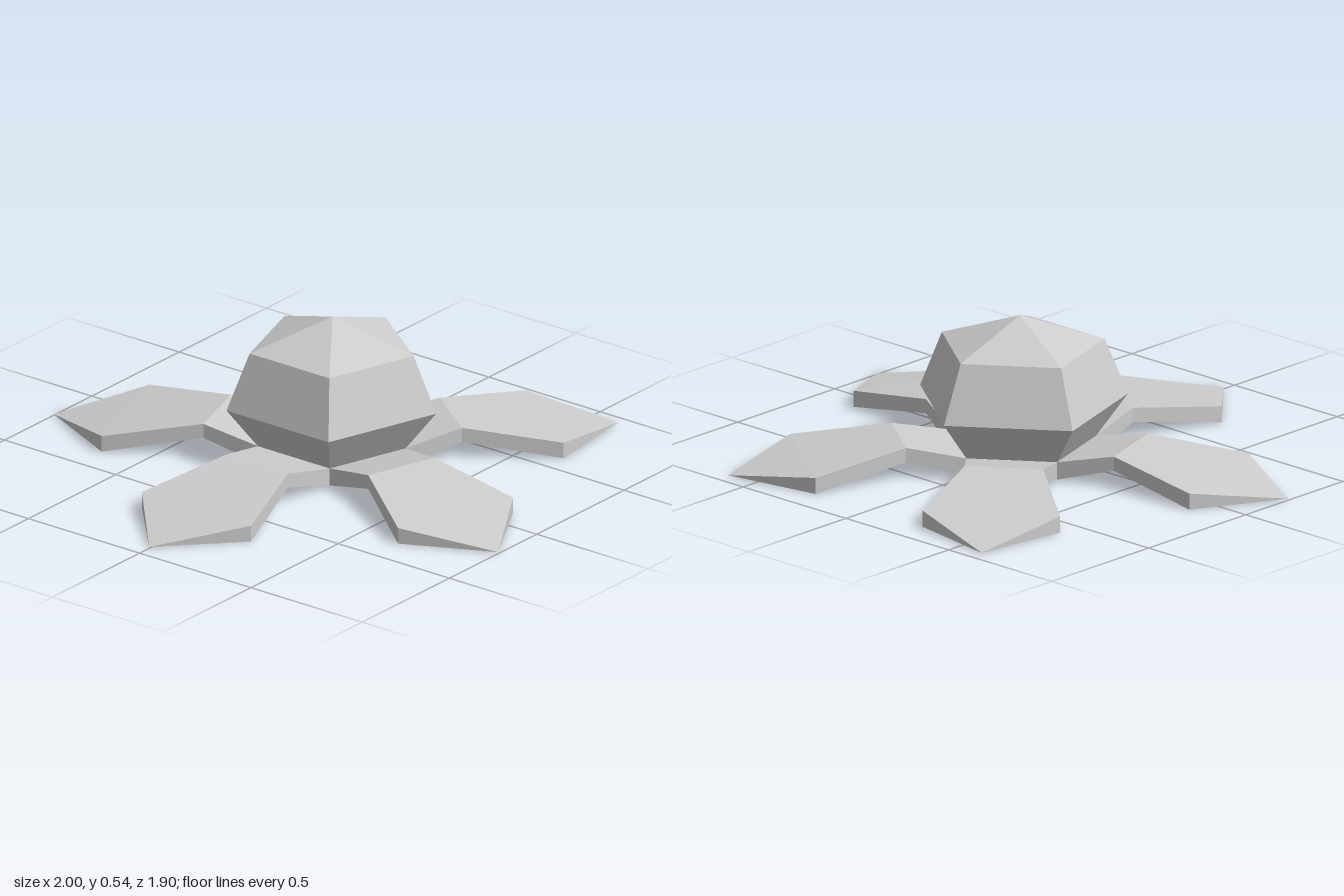
import * as THREE from 'three';

const SIDES = 5;
const HUB_R = 0.275;                              // corner radius of the hub
const HUB_APOTHEM = HUB_R * Math.cos(Math.PI / SIDES);
const HUB_HALF = HUB_R * Math.sin(Math.PI / SIDES);

// Five-sided faceted solid from a [radius, height] profile, one corner to the back
function faceted(profile) {
  const points = profile.map(([r, y]) => new THREE.Vector2(r, y));
  const geometry = new THREE.LatheGeometry(points, SIDES, Math.PI).toNonIndexed();
  geometry.computeVertexNormals();
  return geometry;
}

// Petal along +z, lofted through sections of [distance, half width, top, bottom]
function petalGeometry() {
  const sections = [
    [HUB_APOTHEM, HUB_HALF, 0.07, 0.005],
    [0.435, 0.14, 0.115, 0.062],
    [0.78, 0.245, 0.06, 0],
    [1.05, 0, 0.005, 0.005],
  ].map(([z, w, top, bottom]) => [
    new THREE.Vector3(-w, top, z), new THREE.Vector3(w, top, z),
    new THREE.Vector3(w, bottom, z), new THREE.Vector3(-w, bottom, z),
  ]);
  const points = [];
  const triangle = (a, b, c) => {
    if (new THREE.Triangle(a, b, c).getArea() > 1e-6) points.push(a, b, c);
  };
  for (let i = 0; i < sections.length - 1; i++) {
    for (let k = 0; k < 4; k++) {
      const n = (k + 1) % 4;
      const a = sections[i][k], b = sections[i][n];
      const c = sections[i + 1][n], d = sections[i + 1][k];
      triangle(a, d, c);
      triangle(a, c, b);
    }
  }
  const geometry = new THREE.BufferGeometry().setFromPoints(points);
  geometry.computeVertexNormals();
  return geometry;
}

export function createModel() {
  const group = new THREE.Group();
  group.name = 'flower';
  const grey = new THREE.MeshStandardMaterial({ color: 0xcccccc });
  grey.name = 'light grey';

  const add = (name, geometry) => {
    const mesh = new THREE.Mesh(geometry, grey);
    mesh.name = name;
    mesh.position.z = -0.105;
    group.add(mesh);
    return mesh;
  };

  // Bulging centre with a shallow pointed cap
  add('centreDome', faceted([[HUB_R, 0.07], [0.39, 0.22], [0.305, 0.43], [0, 0.537]]));

  // Underside of the hub that the petals grow from
  add('hubBase', faceted([[0, 0.005], [HUB_R, 0.005]]));

  // Five drooping petals, the first facing front
  const petal = petalGeometry();
  for (let i = 0; i < SIDES; i++) {
    add('petal' + (i + 1), petal).rotation.y = (i * 2 * Math.PI) / SIDES;
  }
  return group;
}
